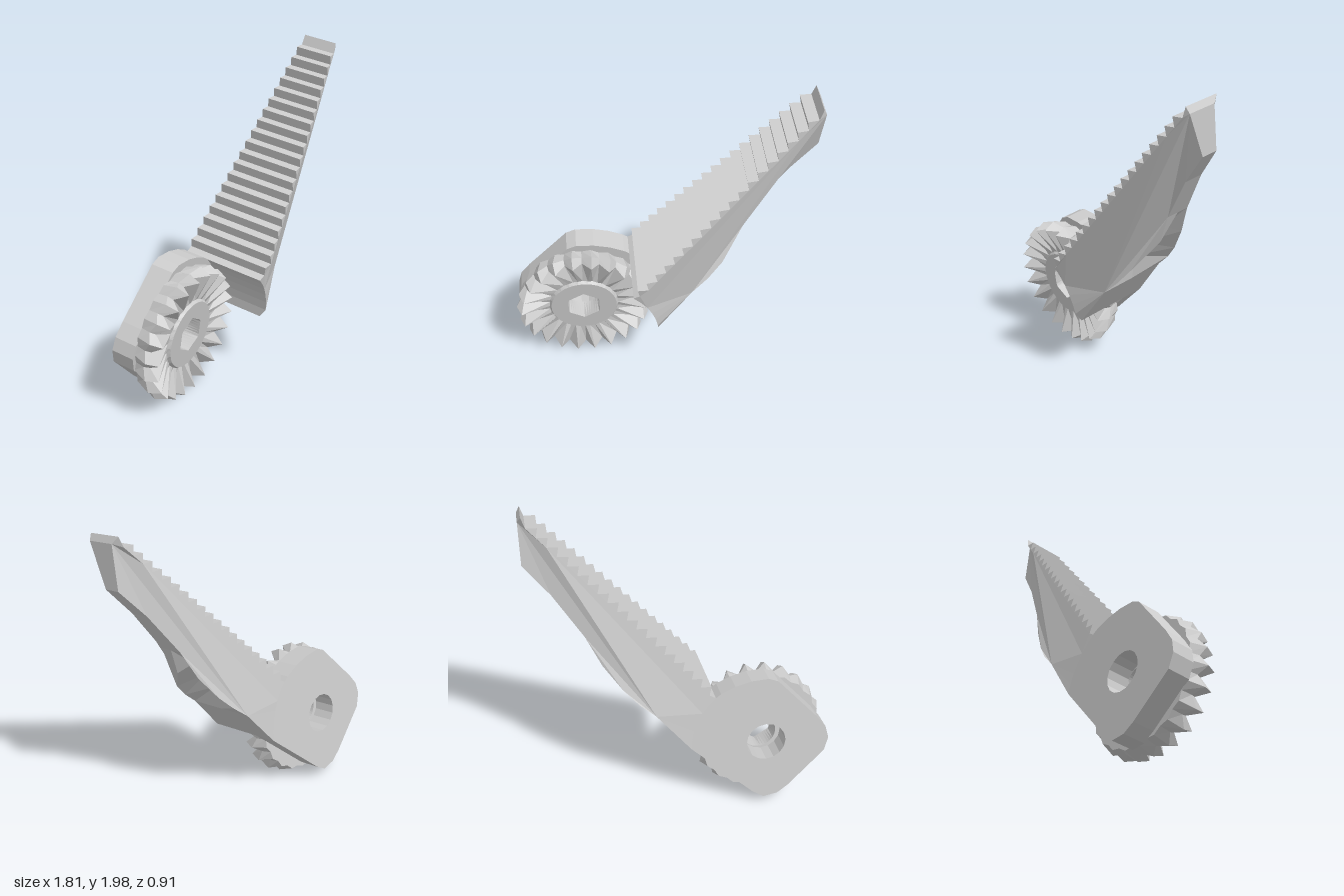
import * as THREE from 'three';

const material = new THREE.MeshStandardMaterial({ color: 0xcccccc, flatShading: true });
const BACK = -0.265, PLATE_FRONT = -0.12;

function part(name, geometry) {
  const g = geometry.index ? geometry.toNonIndexed() : geometry;
  g.computeVertexNormals();
  const mesh = new THREE.Mesh(g, material);
  mesh.name = name;
  return mesh;
}

const toVectors = (pts) => pts.map(([x, y]) => new THREE.Vector2(x, y));

// Concave seam where the arm clears the gear, listed from bottom to top
const seam = [];
for (let i = 0; i <= 6; i++) {
  const a = THREE.MathUtils.degToRad(1 + (48 * i) / 6);
  seam.push([0.46 * Math.cos(a), 0.46 * Math.sin(a)]);
}

// Rounded mounting plate with flats and a bolt hole
function createPlate() {
  const outline = [
    ...seam,
    [0.27, 0.37], [0.18, 0.41], [0.08, 0.435], [-0.03, 0.44], [-0.09, 0.415],
    [-0.34, 0.14], [-0.4, 0.06], [-0.42, -0.02], [-0.395, -0.11],
    [-0.16, -0.34], [-0.09, -0.39], [0, -0.405], [0.07, -0.36],
  ];
  const shape = new THREE.Shape(toVectors(outline));
  shape.holes.push(new THREE.Path().absarc(-0.015, 0, 0.125, 0, Math.PI * 2, true));
  const g = new THREE.ExtrudeGeometry(shape, {
    depth: PLATE_FRONT - BACK, bevelEnabled: false, curveSegments: 8,
  });
  return part('mountingPlate', g.translate(0, 0, BACK));
}

// Face gear: closed loops of radius and height, alternating peak and valley
function createGear() {
  const teeth = 22, steps = teeth * 2;
  const hex = (a) => 0.1 / Math.cos(((a + Math.PI / 6) % (Math.PI / 3)) - Math.PI / 6);
  // each loop: [peak radius, peak height, valley radius, valley height]
  const loops = [
    null,
    [0.21, 0, 0.21, 0],
    [0.222, -0.015, 0.222, -0.02],
    [0.4, 0.05, 0.385, -0.025],
    [0.432, -0.025, 0.4, -0.06],
    [0.4, -0.125, 0.385, -0.125],
    [0.11, -0.125, 0.11, -0.125],
  ];
  const pos = [], index = [], n = loops.length;
  for (let i = 0; i < steps; i++) {
    const a = (i / steps) * Math.PI * 2, valley = i % 2;
    const wear = 1 + 0.015 * Math.sin(i * 2.7);
    loops.forEach((l, j) => {
      const r = l ? l[valley * 2] * (j === 3 || j === 4 ? wear : 1) : hex(a);
      pos.push(r * Math.cos(a), r * Math.sin(a), l ? l[valley * 2 + 1] : 0);
      const k = (j + 1) % n, next = ((i + 1) % steps) * n;
      index.push(i * n + j, i * n + k, next + k, i * n + j, next + k, next + j);
    });
  }
  const g = new THREE.BufferGeometry();
  g.setAttribute('position', new THREE.Float32BufferAttribute(pos, 3));
  g.setIndex(index);
  return part('faceGear', g);
}

// Tapering arm with a staircase of teeth along its upper side
function createArm() {
  // underside and tip: [x, y, back, front, groove depth]
  const under = [
    [seam[0][0], seam[0][1], BACK, 0.22, 0],
    [0.67, 0.27, -0.275, 0.17, 0],
    [0.77, 0.36, -0.27, 0.14, 0.1],
    [0.86, 0.46, -0.25, 0.1, 0.12],
    [0.97, 0.62, -0.22, -0.05, 0.08],
    [1.06, 0.81, -0.2, -0.05, 0],
    [1.23, 1.075, -0.17, -0.05, 0],
    [1.38, 1.26, -0.15, -0.05, 0],
    [1.38, 1.52, -0.16, 0.015, 0],
  ];
  const outline = under.map(([x, y]) => [x, y]);
  outline.push([1.36, 1.557]);
  const teeth = 19, dx = 0.0526, dy = 0.0592;
  outline.push([0.34 + teeth * dx, 0.37 + teeth * dy]);
  for (let i = teeth - 1; i >= 0; i--) {
    const x = 0.34 + i * dx, y = 0.37 + i * dy;
    outline.push([x - 0.013, y + 0.056], [x, y]);
  }
  outline.push(...[...seam].reverse().slice(0, -1));

  const g = new THREE.ExtrudeGeometry(new THREE.Shape(toVectors(outline)), {
    depth: 1, steps: 2, bevelEnabled: false,
  });
  const p = g.attributes.position;
  for (let i = 0; i < p.count; i++) {
    const x = p.getX(i), y = p.getY(i), d = p.getZ(i);
    const u = under.find((q) => Math.hypot(q[0] - x, q[1] - y) < 1e-4);
    const t = THREE.MathUtils.clamp((x + y - 0.67) / 2.25, 0, 1);
    const back = u ? u[2] : BACK + 0.065 * t;
    const front = u ? u[3] : Math.min(0.255 + 0.3 * t, 0.285 - 0.265 * t);
    const groove = u && d > 0.25 && d < 0.75 ? u[4] * 0.7 : 0;
    p.setXYZ(i, x - groove, y + groove, back + (front - back) * d);
  }
  return part('toothedArm', g);
}

export function createModel() {
  const group = new THREE.Group();
  group.name = 'gearLever';
  const lever = new THREE.Group();
  lever.name = 'lever';
  lever.add(createPlate(), createGear(), createArm());

  // Lean the lever so the gear axis points forward, left and slightly down
  const axis = new THREE.Vector3(0.5, -0.15, 0.85).normalize();
  const side = new THREE.Vector3(0, 1, 0).cross(axis).normalize();
  const up = axis.clone().cross(side);
  lever.quaternion.setFromRotationMatrix(new THREE.Matrix4().makeBasis(side, up, axis));
  lever.position.set(-0.418, 0.43, 0.2);
  group.add(lever);
  return group;
}
